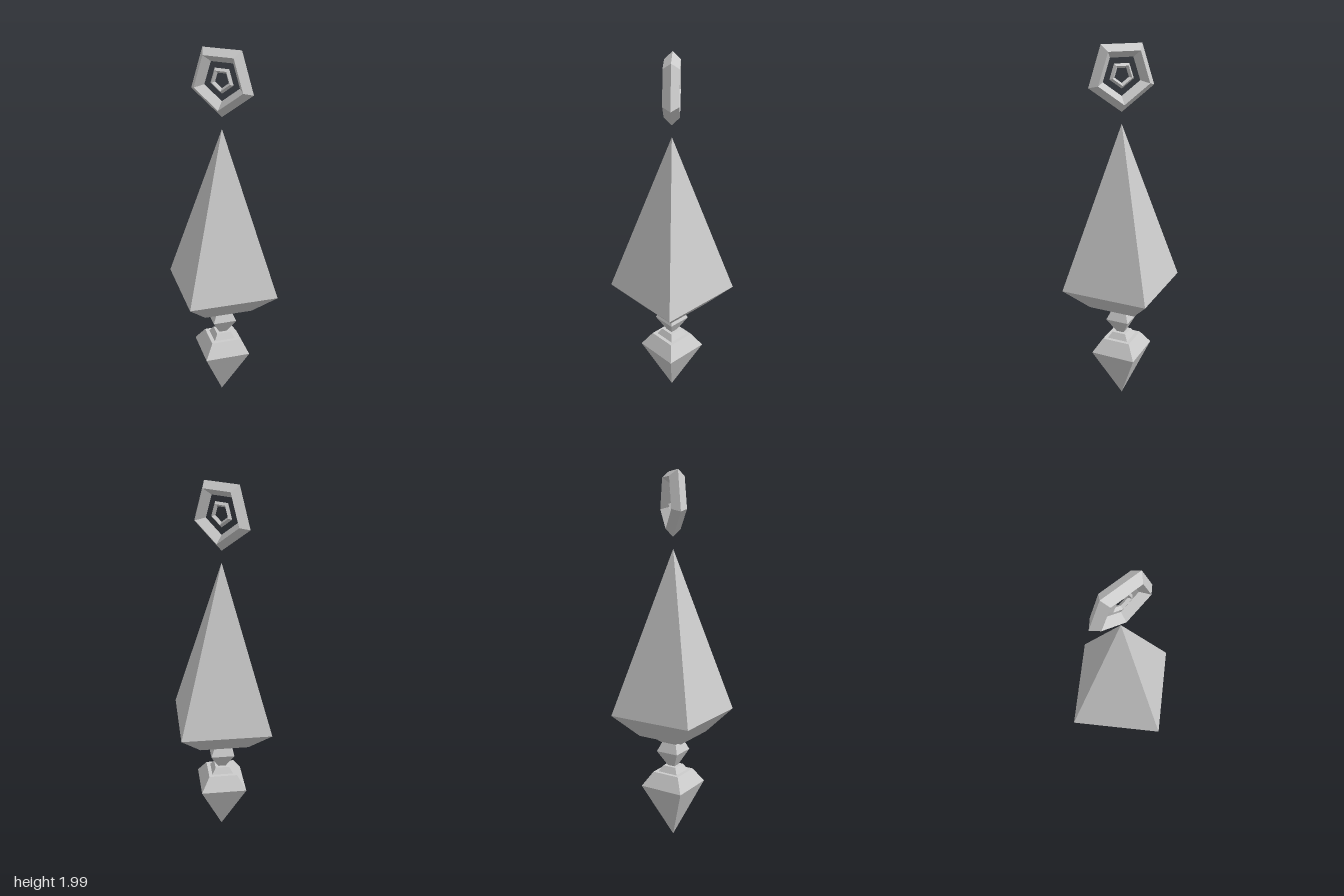
import * as THREE from 'three';

const material = new THREE.MeshStandardMaterial({ color: 0xcccccc, flatShading: true });

// Four-sided turned part from [radius, height] points, listed bottom to top
function turned(name, profile) {
  const points = profile.map(([r, y]) => new THREE.Vector2(r, y));
  const mesh = new THREE.Mesh(new THREE.LatheGeometry(points, 4), material);
  mesh.name = name;
  return mesh;
}

// Five-sided ring with a diamond section and one corner pointing down
function pentagonRing(name, radius, tube) {
  const mesh = new THREE.Mesh(new THREE.TorusGeometry(radius, tube, 4, 5), material);
  mesh.name = name;
  mesh.rotation.z = -Math.PI / 2;
  mesh.position.y = 1.85;
  return mesh;
}

export function createModel() {
  const model = new THREE.Group();
  model.name = 'floatingSpire';

  model.add(
    // Pointed base with its stepped collar
    turned('basePoint', [[0, 0.005], [0.178, 0.31], [0.112, 0.387], [0, 0.387]]),
    turned('baseCollar', [[0, 0.38], [0.085, 0.385], [0.055, 0.42], [0, 0.42]]),
    // Small bead in the neck
    turned('neckBead', [[0, 0.415], [0.03, 0.42], [0.092, 0.505], [0.06, 0.558], [0, 0.558]]),
    // Tapered foot under the tall spire
    turned('spireFoot', [[0, 0.558], [0.07, 0.558], [0.135, 0.6], [0, 0.602]]),
    turned('spire', [[0, 0.6], [0.187, 0.6], [0.34, 0.723], [0, 1.605]]),
    // Concentric rings floating above the tip
    pentagonRing('outerRing', 0.144, 0.04),
    pentagonRing('innerRing', 0.054, 0.014),
  );
  return model;
}
